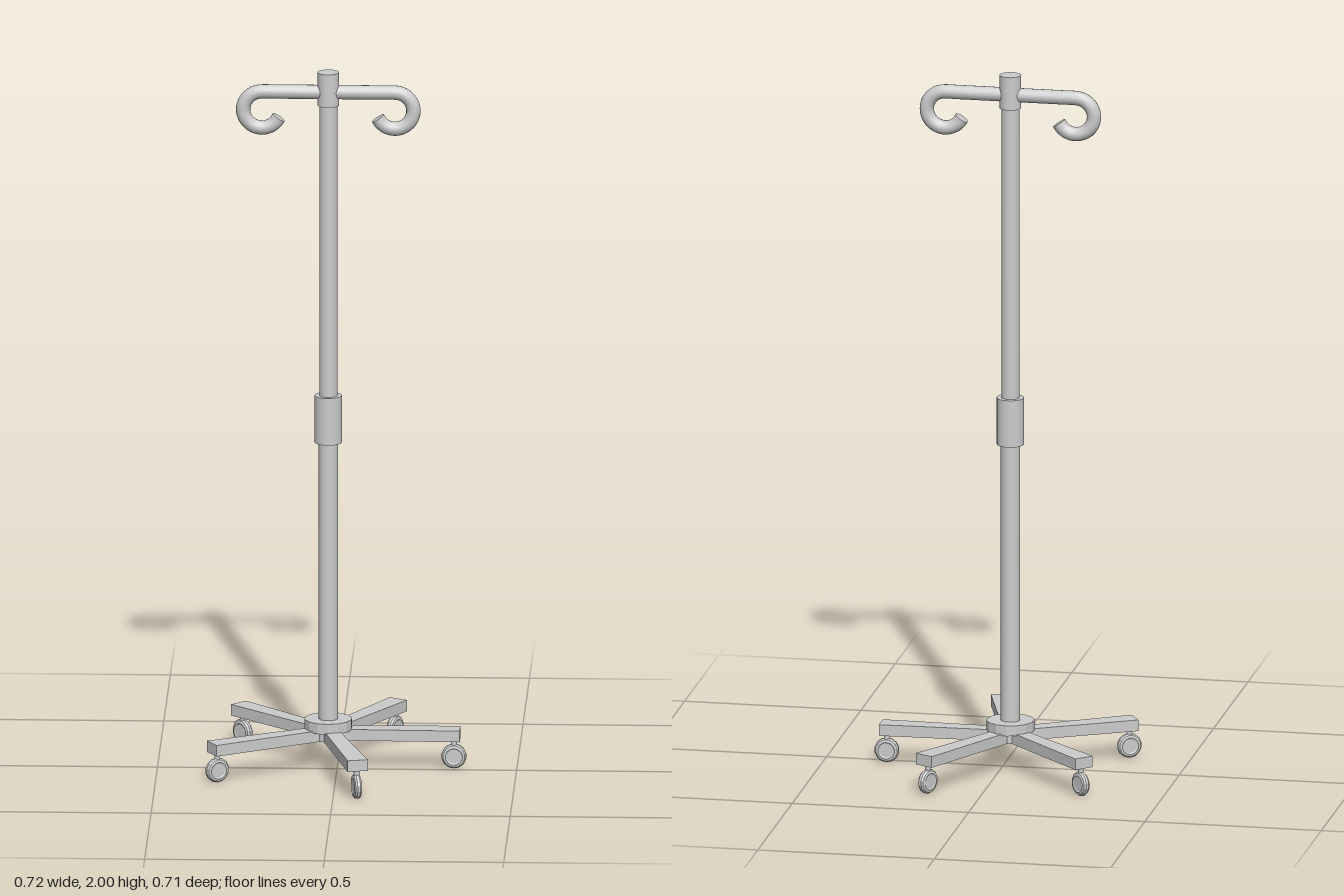
import * as THREE from 'three';

const grey = new THREE.MeshStandardMaterial({ color: 0xcccccc });
const flat = new THREE.MeshStandardMaterial({ color: 0xcccccc, flatShading: true });

function add(parent, name, geometry, material = grey) {
  const mesh = new THREE.Mesh(geometry, material);
  mesh.name = name;
  parent.add(mesh);
  return mesh;
}

// Upright cylinder between two heights
function post(parent, name, r, y0, y1, sides = 32, material = grey) {
  const mesh = add(parent, name, new THREE.CylinderGeometry(r, r, y1 - y0, sides), material);
  mesh.position.y = (y0 + y1) / 2;
  return mesh;
}

// Tapered plan outline running outwards along x
function taper(PathType, x0, x1, w0, w1) {
  const path = new PathType();
  path.moveTo(x0, -w0);
  path.lineTo(x1, -w1);
  path.lineTo(x1, w1);
  path.lineTo(x0, w0);
  path.closePath();
  return path;
}

// Extrude a plan outline upwards from y0 to y1
function slab(shape, y0, y1) {
  const geometry = new THREE.ExtrudeGeometry(shape, { depth: y1 - y0, bevelEnabled: false });
  return geometry.rotateX(-Math.PI / 2).translate(0, y0, 0);
}

// One hook: straight bar, then a curl down and back up
function hookPath(side) {
  const cx = 0.185, cy = 1.891, r = 0.052;
  const points = [0, 0.05, 0.1, 0.15].map((x) => new THREE.Vector3(side * x, cy + r, 0));
  for (let i = 0; i <= 14; i++) {
    const a = THREE.MathUtils.degToRad(90 - (245 * i) / 14);
    points.push(new THREE.Vector3(side * (cx + r * Math.cos(a)), cy + r * Math.sin(a), 0));
  }
  return new THREE.CatmullRomCurve3(points);
}

function createHook(side) {
  const hook = new THREE.Group();
  hook.name = side > 0 ? 'leftHook' : 'rightHook';
  const path = hookPath(side);
  add(hook, 'hookTube', new THREE.TubeGeometry(path, 64, 0.02, 16));
  // Flat cap on the open tip
  const cap = add(hook, 'hookTip', new THREE.CircleGeometry(0.02, 16));
  cap.position.copy(path.getPointAt(1));
  cap.quaternion.setFromUnitVectors(new THREE.Vector3(0, 0, 1), path.getTangentAt(1));
  return hook;
}

// Leg: inverted channel with a caster under its outer end
function createLeg() {
  const leg = new THREE.Group();
  leg.name = 'leg';
  add(leg, 'legTop', slab(taper(THREE.Shape, 0.03, 0.367, 0.021, 0.029), 0.107, 0.114));
  const rim = taper(THREE.Shape, 0.03, 0.367, 0.021, 0.029);
  rim.holes.push(taper(THREE.Path, 0.036, 0.361, 0.015, 0.023));
  add(leg, 'legSides', slab(rim, 0.082, 0.107));

  const stem = post(leg, 'casterStem', 0.008, 0.06, 0.108, 12);
  stem.position.x = 0.35;
  const profile = [
    [0, -0.009], [0.02, -0.009], [0.024, -0.011], [0.031, -0.009], [0.035, -0.004],
    [0.035, 0.004], [0.031, 0.009], [0.024, 0.011], [0.02, 0.009], [0, 0.009],
  ].map(([r, y]) => new THREE.Vector2(r, y));
  const wheel = add(leg, 'casterWheel', new THREE.LatheGeometry(profile, 14), flat);
  wheel.rotation.x = Math.PI / 2;
  wheel.position.set(0.35, 0.035, 0);
  return leg;
}

export function createModel() {
  const model = new THREE.Group();
  model.name = 'dripStand';
  const stand = new THREE.Group();
  stand.name = 'stand';
  stand.position.set(-0.025, 0, -0.019);
  model.add(stand);

  // Pole with height-adjusting collar and top sleeve
  post(stand, 'lowerPole', 0.027, 0.1, 1.0);
  post(stand, 'upperPole', 0.025, 1.0, 1.95);
  post(stand, 'collar', 0.038, 0.935, 1.07);
  post(stand, 'topSleeve', 0.03, 1.905, 2.0);

  // Base hub
  post(stand, 'hub', 0.067, 0.11, 0.14, 14, flat);
  post(stand, 'hubUnderside', 0.045, 0.082, 0.11, 14, flat);

  // Legs spread around the hub
  for (const degrees of [0, 60, 135, 210, 285]) {
    const leg = createLeg();
    leg.rotation.y = THREE.MathUtils.degToRad(degrees);
    stand.add(leg);
  }

  for (const side of [-1, 1]) stand.add(createHook(side));
  return model;
}
